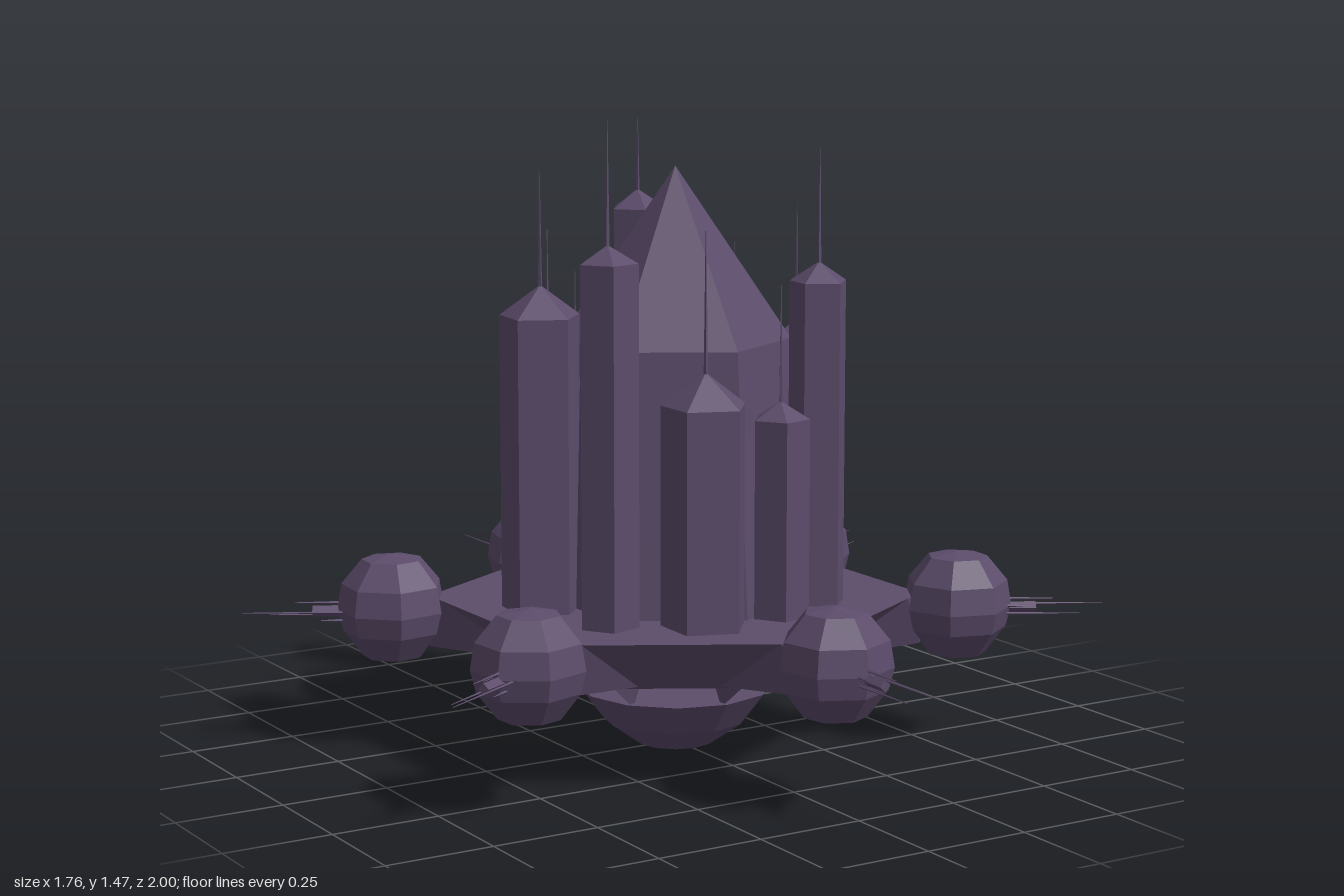
import * as THREE from 'three';
import { ConvexGeometry } from 'three/addons/geometries/ConvexGeometry.js';

const purple = new THREE.MeshStandardMaterial({ color: 0x5c4c6b, flatShading: true });
purple.name = 'dusk purple';

function add(parent, name, geometry, x = 0, y = 0, z = 0) {
  const mesh = new THREE.Mesh(geometry, purple);
  mesh.name = name;
  mesh.position.set(x, y, z);
  parent.add(mesh);
  return mesh;
}

// Upright prism or cone between two heights
function prism(parent, name, rBottom, rTop, y0, y1, sides) {
  return add(parent, name, new THREE.CylinderGeometry(rTop, rBottom, y1 - y0, sides), 0, (y0 + y1) / 2, 0);
}

// Lathe from [radius, height] pairs listed bottom to top
function lathe(parent, name, profile, sides) {
  return add(parent, name, new THREE.LatheGeometry(profile.map(p => new THREE.Vector2(...p)), sides));
}

// Convex solid from points; points off the centre line are mirrored in x
function hull(parent, name, points) {
  const all = points.flatMap(([x, y, z]) =>
    (x ? [[x, y, z], [-x, y, z]] : [[x, y, z]]).map(p => new THREE.Vector3(...p)));
  return add(parent, name, new ConvexGeometry(all));
}

// Five-sided tower with a pointed roof and a needle mast
function tower(x, z, radius, wallTop, roofTop, mastTop) {
  const g = new THREE.Group();
  g.name = 'tower';
  g.position.set(x, 0, z);
  g.rotation.y = Math.atan2(-x, -z);
  prism(g, 'towerWall', radius, radius, 0.34, wallTop, 5);
  prism(g, 'towerRoof', radius, 0, wallTop, roofTop, 5);
  prism(g, 'towerMast', 0.005, 0.001, roofTop - 0.02, mastTop, 4);
  return g;
}

// Arm, strut, pod and spikes, built along +z
function spoke(angle) {
  const g = new THREE.Group();
  g.name = 'spoke';
  g.rotation.y = angle;
  hull(g, 'arm', [[0, 0.35, 0.57], [0.06, 0.35, 0.535], [0.1, 0.215, 0.31],
    [0, 0.23, 0.57], [0, 0.225, 0.45], [0, 0.2, 0.27]]);
  hull(g, 'strut', [[0.025, 0.22, 0.19], [0, 0.22, 0.33], [0, 0.19, 0.265], [0, 0.125, 0.2]]);

  const pod = lathe(g, 'pod', [[0, 0.21], [0.07, 0.21], [0.115, 0.27], [0.128, 0.32],
    [0.118, 0.38], [0.07, 0.438], [0, 0.45]], 7);
  pod.position.z = 0.655;

  // Spikes: [x, y, thickness, tip distance]
  const spikes = [[0, 0.315, 0.013, 0.84], [0.027, 0.317, 0.004, 1], [-0.016, 0.303, 0.004, 0.94],
    [0, 0.335, 0.005, 0.88], [-0.02, 0.322, 0.007, 0.81], [0.012, 0.295, 0.007, 0.82]];
  spikes.forEach(([x, y, r, tip], i) => {
    const spike = add(g, 'spike', new THREE.CylinderGeometry(i ? 0.001 : r, r, tip - 0.73, 4), x, y, (tip + 0.73) / 2);
    spike.rotation.x = Math.PI / 2;
  });
  return g;
}

export function createModel() {
  const model = new THREE.Group();
  model.name = 'floatingCitadel';

  // Six-sided deck, undercut towards the middle
  prism(model, 'deck', 0.38, 0.57, 0.21, 0.35, 6);

  // Hanging bowl
  lathe(model, 'bowl', [[0, 0], [0.09, 0.003], [0.17, 0.06], [0.228, 0.137], [0, 0.137]], 12);

  // Central keep with pyramid roof
  prism(model, 'keepWall', 0.31, 0.265, 0.34, 0.95, 6);
  prism(model, 'keepRoof', 0.265, 0, 0.95, 1.345, 6);

  // Ring of towers: x, z, radius, wall top, roof top, mast top
  [
    [-0.33, -0.04, 0.095, 1.02, 1.09, 1.35],
    [-0.2, -0.24, 0.065, 0.84, 0.89, 1.19],
    [-0.075, -0.33, 0.06, 0.74, 0.79, 1.08],
    [0.08, -0.3, 0.068, 1.22, 1.265, 1.43],
    [0.275, -0.18, 0.062, 0.79, 0.835, 1.14],
    [0.31, 0.035, 0.078, 0.92, 0.98, 1.25],
    [0.24, 0.23, 0.068, 1.09, 1.135, 1.39],
    [0.085, 0.31, 0.066, 0.8, 0.84, 1.1],
    [-0.112, 0.31, 0.1, 0.845, 0.92, 1.23],
    [-0.295, 0.2, 0.068, 1.16, 1.2, 1.47],
  ].forEach(t => model.add(tower(...t)));

  for (let i = 0; i < 6; i++) model.add(spoke(i * Math.PI / 3));
  return model;
}
